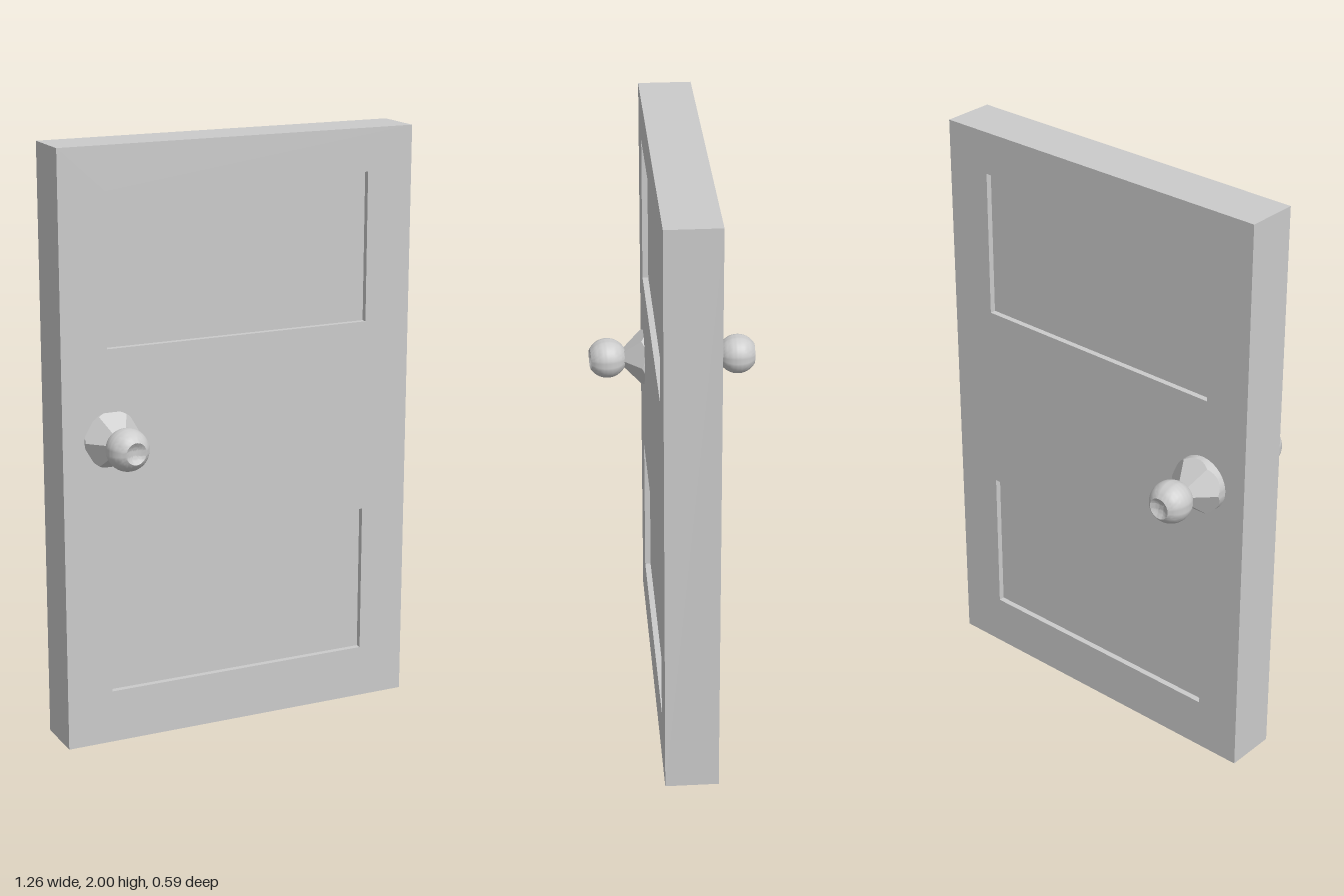
import * as THREE from 'three';
import { toCreasedNormals } from 'three/addons/utils/BufferGeometryUtils.js';

const material = new THREE.MeshStandardMaterial({ color: 0xcccccc });

function addMesh(parent, name, geometry) {
  const mesh = new THREE.Mesh(geometry, material);
  mesh.name = name;
  parent.add(mesh);
  return mesh;
}

function trace(path, x0, x1, y0, y1) {
  path.moveTo(x0, y0).lineTo(x1, y0).lineTo(x1, y1).lineTo(x0, y1).closePath();
  return path;
}

// Round plate whose six sloping flats cut a scalloped rim; axis along +z
function roseGeometry() {
  const R = 0.095, neck = 0.03, top = 0.172, slope = 1.15;
  const points = [[R, 0.03], [R, 0.1], [neck, top], [0, top]].map(p => new THREE.Vector2(...p));
  const geometry = new THREE.LatheGeometry(points, 72);
  const pos = geometry.attributes.position;
  for (let i = 0; i < pos.count; i++) {
    const row = i % 4;
    const angle = Math.floor(i / 4) / 72 * Math.PI * 2;
    const sector = Math.PI / 3;
    const c = Math.cos(angle - Math.round(angle / sector) * sector);
    if (row === 1) pos.setY(i, top - slope * (R * c - neck));
    if (row === 2) {
      pos.setX(i, pos.getX(i) / c);
      pos.setZ(i, pos.getZ(i) / c);
    }
  }
  geometry.rotateX(Math.PI / 2);
  return toCreasedNormals(geometry, 0.4);
}

// Ball with a truncated, dimpled end; axis along +z
function ballGeometry() {
  const r = 0.07, end = Math.acos(0.06 / r);
  const points = [];
  for (let i = 0; i <= 24; i++) {
    const a = Math.PI + (end - Math.PI) * i / 24;
    points.push(new THREE.Vector2(i ? r * Math.sin(a) : 0, r * Math.cos(a)));
  }
  const rim = r * Math.sin(end);
  for (let i = 1; i <= 6; i++) {
    const t = 1 - i / 6;
    points.push(new THREE.Vector2(rim * t, 0.06 - 0.014 * (1 - t * t)));
  }
  const geometry = new THREE.LatheGeometry(points, 48);
  geometry.rotateX(Math.PI / 2);
  return toCreasedNormals(geometry, 0.6);
}

export function createModel() {
  const model = new THREE.Group();
  model.name = 'door';

  // Slab with two openings, filled by thinner panels recessed on both faces
  const depth = 0.178, middle = 0.009, recess = 0.02;
  const outline = trace(new THREE.Shape(), -0.628, 0.628, 0, 2);
  const panels = [['lowerPanel', 0.18, 0.69], ['upperPanel', 1.35, 1.855]];
  for (const [name, y0, y1] of panels) {
    outline.holes.push(trace(new THREE.Path(), -0.47, 0.465, y0, y1));
    const panel = addMesh(model, name, new THREE.BoxGeometry(0.935, y1 - y0, depth - 2 * recess));
    panel.position.set(-0.0025, (y0 + y1) / 2, middle);
  }
  const frame = new THREE.ExtrudeGeometry(outline, { depth, bevelEnabled: false });
  addMesh(model, 'doorFrame', frame).position.z = middle - depth / 2;

  // A handle on each face; the front ball is turned slightly
  const rose = roseGeometry(), ball = ballGeometry();
  for (const [name, turn, tilt] of [['frontHandle', 0, 0.1], ['backHandle', Math.PI, 0]]) {
    const handle = new THREE.Group();
    handle.name = name;
    handle.position.set(-0.458, 1.05, -0.004);
    handle.rotation.y = turn;
    addMesh(handle, 'rose', rose);
    const knob = addMesh(handle, 'knob', ball);
    knob.position.z = 0.231;
    knob.rotation.y = tilt;
    model.add(handle);
  }
  return model;
}
